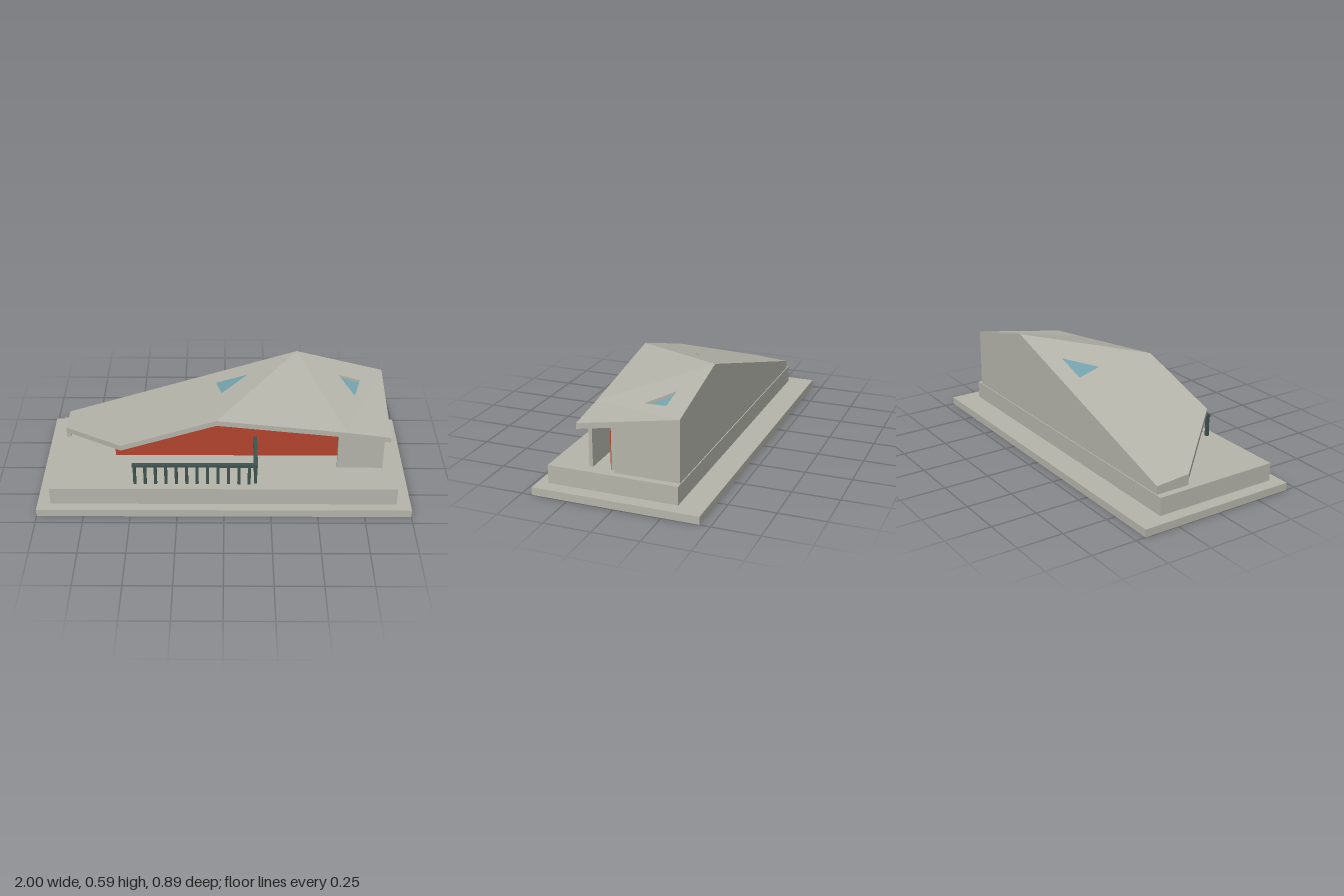
import * as THREE from 'three';

const mat = (name, color) => Object.assign(new THREE.MeshStandardMaterial({ color }), { name });

export function createModel() {
  const model = new THREE.Group();
  model.name = 'house';
  const concrete = mat('concrete', 0xb4b4aa);
  const red = mat('red wall', 0xb2442e);
  const glass = mat('glass', 0x73a2ac);
  const railing = mat('dark railing', 0x3e524f);

  const add = (name, geometry, material, parent = model) => {
    const mesh = new THREE.Mesh(geometry, material);
    mesh.name = name;
    parent.add(mesh);
    return mesh;
  };
  const box = (name, material, x0, x1, y0, y1, z0, z1, parent) => {
    const g = new THREE.BoxGeometry(x1 - x0, y1 - y0, z1 - z0);
    g.translate((x0 + x1) / 2, (y0 + y1) / 2, (z0 + z1) / 2);
    return add(name, g, material, parent);
  };

  // Base slab and plinth
  box('baseSlab', concrete, -1, 1, 0, 0.042, -0.445, 0.445);
  box('plinth', concrete, -0.93, 0.925, 0.042, 0.14, -0.308, 0.39);

  // Roof corner points, and the plane of each facet as y = f(x, z)
  const T = 0.03;
  const ridgeBack = [0.405, 0.59, -0.303];
  const ridgeFront = [-0.04, 0.495, 0.272];
  const eaveMid = [0.65, 0.405, 0.245];
  const frontRight = [0.888, 0.372, 0.243];
  const backRight = [0.888, 0.469, -0.303];
  const leftFront = [-0.55, 0.336, 0.272];
  const leftMid = [-0.893, 0, -0.11];
  const leftBack = [-0.893, 0, -0.303];
  const planeOf = (...pts) => {
    const [a, b, c] = pts.map((p) => new THREE.Vector3(...p));
    const p = new THREE.Plane().setFromCoplanarPoints(a, b, c);
    return (x, z) => -(p.constant + p.normal.x * x + p.normal.z * z) / p.normal.y;
  };
  const left = planeOf(ridgeBack, ridgeFront, leftFront);
  const right = planeOf(ridgeBack, ridgeFront, eaveMid);
  const end = planeOf(ridgeBack, eaveMid, backRight);
  const corner = planeOf(eaveMid, frontRight, backRight);
  const roofY = (x, z) => Math.min(left(x, z), right(x, z), Math.max(end(x, z), corner(x, z)));

  // Sloped slab over a plan outline, following a plane
  const slab = (outline, plane, top, thickness, hole) => {
    const flat = (pts) => pts.map((p) => new THREE.Vector2(p[0], -p[p.length - 1]));
    const shape = new THREE.Shape(flat(outline));
    if (hole) shape.holes.push(new THREE.Path(flat(hole)));
    const g = new THREE.ExtrudeGeometry(shape, { depth: 1, bevelEnabled: false });
    g.rotateX(-Math.PI / 2);
    const p = g.attributes.position;
    for (let i = 0; i < p.count; i++) {
      const y = plane(p.getX(i), p.getZ(i)) - top;
      p.setY(i, p.getY(i) > 0.5 ? y : y - thickness);
    }
    g.computeVertexNormals();
    return g;
  };

  // Roof facets with two triangular skylights set into them
  const roof = new THREE.Group();
  roof.name = 'roof';
  model.add(roof);
  const leftLight = [[-0.052, -0.203], [0.16, -0.203], [-0.015, -0.03]];
  const rightLight = [[0.632, -0.185], [0.755, -0.18], [0.715, -0.047]];
  add('leftRoof', slab([ridgeBack, ridgeFront, leftFront, leftMid, leftBack], left, 0, T, leftLight), concrete, roof);
  add('rightRoof', slab([ridgeBack, ridgeFront, eaveMid], right, 0, T), concrete, roof);
  add('endRoof', slab([ridgeBack, eaveMid, backRight], end, 0, T, rightLight), concrete, roof);
  add('cornerRoof', slab([eaveMid, frontRight, backRight], corner, 0, T), concrete, roof);
  add('leftSkylight', slab(leftLight, left, 0.016, 0.008), glass, roof);
  add('rightSkylight', slab(rightLight, end, 0.016, 0.008), glass, roof);

  // Walls rise from the plinth to the underside of the roof
  const wall = (name, material, x0, x1, z0, z1) => {
    const g = new THREE.BoxGeometry(x1 - x0, 1, z1 - z0, 48, 1, 8).toNonIndexed();
    g.translate((x0 + x1) / 2, 0.5, (z0 + z1) / 2);
    const p = g.attributes.position;
    for (let i = 0; i < p.count; i++) {
      p.setY(i, p.getY(i) > 0.5 ? roofY(p.getX(i), p.getZ(i)) - T : 0.14);
    }
    g.computeVertexNormals();
    add(name, g, material);
  };
  wall('backWall', concrete, -0.893, 0.888, -0.303, -0.278);
  wall('leftWall', concrete, -0.893, -0.868, -0.278, -0.11);
  wall('rightWall', concrete, 0.863, 0.888, -0.278, 0.042);
  wall('innerRooms', concrete, -0.6, 0.863, -0.278, 0.068);
  wall('redFrontWall', red, -0.6, 0.86, 0.068, 0.074);
  wall('frontScreenWall', concrete, 0.615, 0.863, 0.17, 0.19);

  // Terrace railing: a front run and a return to the house
  const rail = new THREE.Group();
  rail.name = 'railing';
  model.add(rail);
  box('frontHandrail', railing, -0.488, 0.18, 0.25, 0.264, 0.325, 0.348, rail);
  box('sideHandrail', railing, 0.158, 0.18, 0.25, 0.264, 0.074, 0.325, rail);
  const post = (x, z) => box('railPost', railing, x - 0.008, x + 0.008, 0.14, 0.25, z - 0.008, z + 0.008, rail);
  for (let i = 0; i < 12; i++) post(-0.476 + i * 0.0555, 0.337);
  for (let i = 0; i < 5; i++) post(0.169, 0.331 - i * 0.055);

  return model;
}
